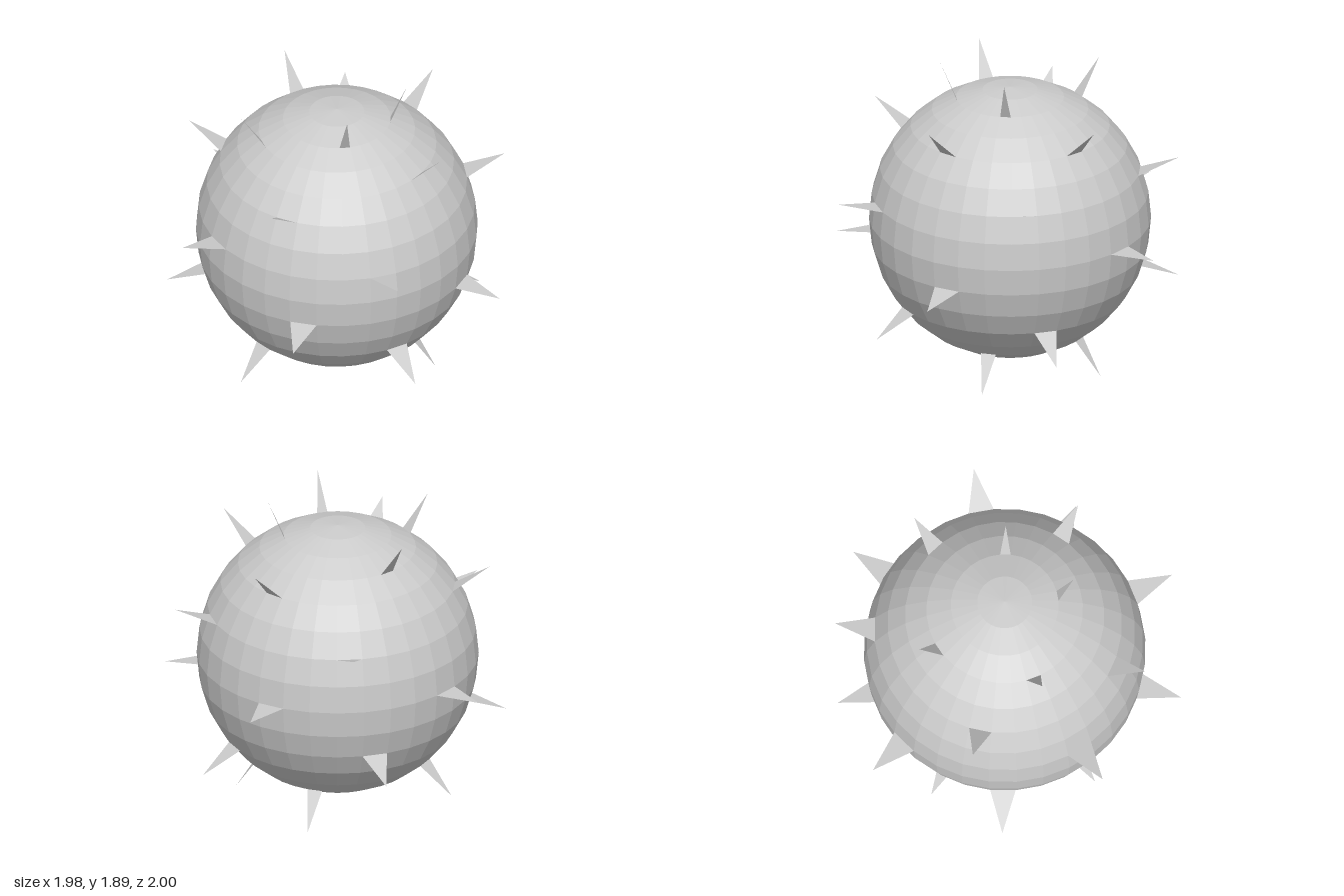
import * as THREE from 'three';

const RADIUS = 0.826, TIP = 1.076, COLUMNS = 32, ROWS = 16;
const STEP = (2 * Math.PI) / COLUMNS;

// Point on the ball grid: column counted from the front towards +x, row up from the equator
function gridPoint(column, row) {
  const a = column * STEP, b = row * STEP;
  return new THREE.Vector3(
    Math.sin(a) * Math.cos(b), Math.sin(b), Math.cos(a) * Math.cos(b)
  ).multiplyScalar(RADIUS);
}

// Flat triangular blade standing on one horizontal grid edge
function spikeGeometry(column, row) {
  const a = gridPoint(column, row), b = gridPoint(column + 1, row);
  const tip = a.clone().add(b).setLength(TIP);
  const geometry = new THREE.BufferGeometry().setFromPoints([a, b, tip]);
  geometry.computeVertexNormals();
  return geometry;
}

export function createModel() {
  const model = new THREE.Group();
  model.name = 'spikedBall';
  const body = new THREE.MeshStandardMaterial({ color: 0xcccccc, flatShading: true });
  const blade = new THREE.MeshStandardMaterial({
    color: 0xcccccc, flatShading: true, side: THREE.DoubleSide,
  });

  // Faceted ball
  const ball = new THREE.Mesh(new THREE.SphereGeometry(RADIUS, COLUMNS, ROWS), body);
  ball.name = 'ball';
  model.add(ball);

  // Two spikes per ring, seven columns apart, shifting 18 columns from ring to ring
  const spikes = new THREE.Group();
  spikes.name = 'spikes';
  for (let ring = 0; ring < 12; ring++) {
    for (const offset of [0, 7]) {
      const spike = new THREE.Mesh(spikeGeometry(ring * 18 + offset, 6 - ring), blade);
      spike.name = 'spike';
      spikes.add(spike);
    }
  }
  model.add(spikes);

  // Rest the lowest spikes on the ground and centre the whole
  for (const part of model.children) part.position.set(0, 0.897, -0.01);
  return model;
}
